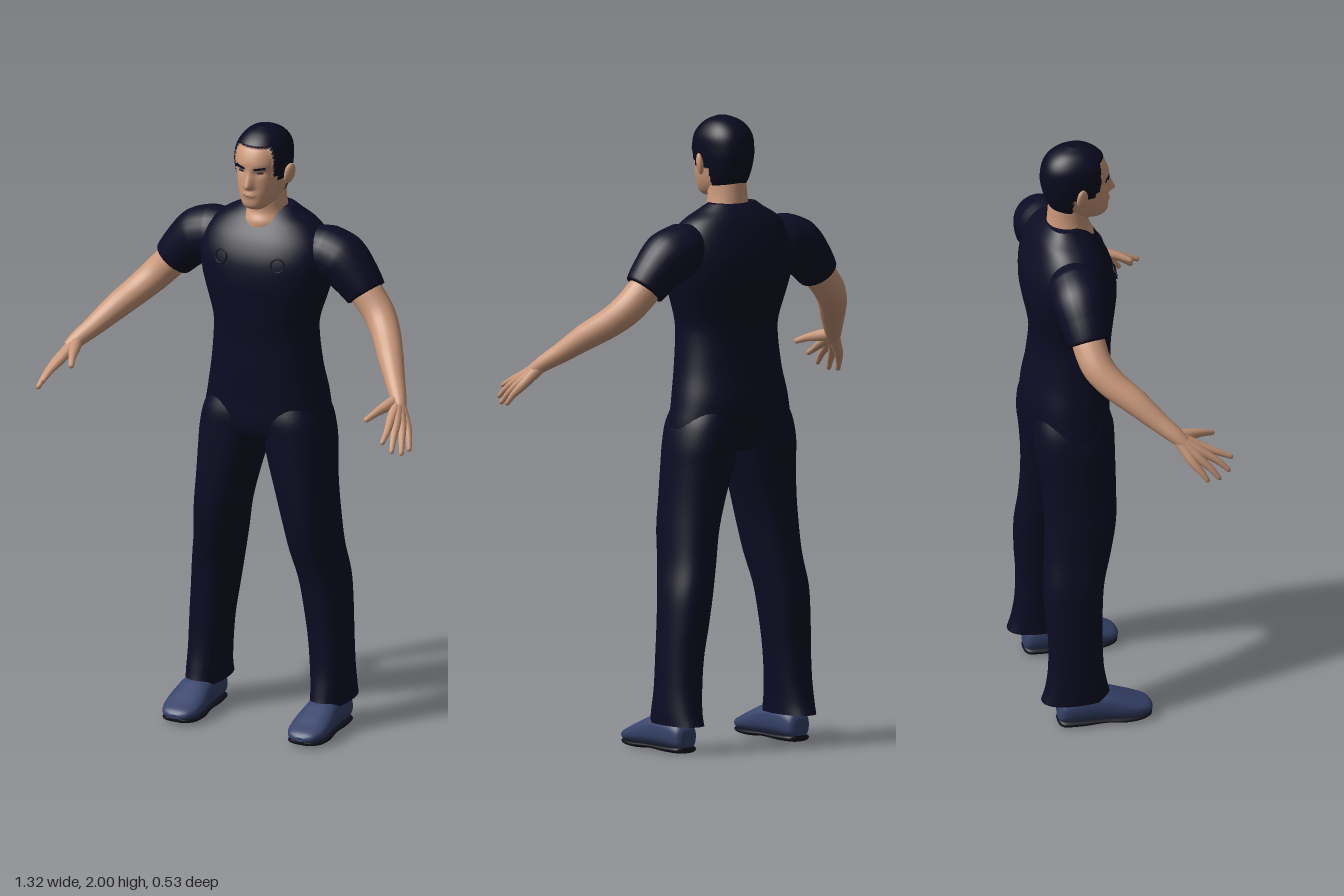
import * as THREE from 'three';
import { mergeVertices } from 'three/addons/utils/BufferGeometryUtils.js';

const paint = (name, color) => {
  const m = new THREE.MeshStandardMaterial({ color });
  m.name = name;
  return m;
};

// Uniform Catmull-Rom through rows of numbers, t from 0 to 1
function sampleRows(rows, t) {
  const last = rows.length - 1;
  const i = Math.min(Math.floor(t * last), last - 1);
  const u = t * last - i;
  const [a, b, c, d] = [rows[Math.max(i - 1, 0)], rows[i], rows[i + 1], rows[Math.min(i + 2, last)]];
  return b.map((_, k) => b[k] + 0.5 * u * (c[k] - a[k] +
    u * (2 * a[k] - 5 * b[k] + 4 * c[k] - d[k] + u * (3 * (b[k] - c[k]) + d[k] - a[k]))));
}

// Closed loft of rounded sections, each [height, centreX, halfWidth, zFront, zBack]
function loft(sections, power = 2.3, around = 40, rows = 48) {
  const pos = [], idx = [];
  const round = (v) => Math.sign(v) * Math.abs(v) ** (2 / power);
  for (let i = 0; i <= rows; i++) {
    const [y, cx, hw, zf, zb] = sampleRows(sections, i / rows);
    for (let j = 0; j < around; j++) {
      const a = (j / around) * Math.PI * 2;
      pos.push(cx + hw * round(Math.sin(a)), y, (zf + zb) / 2 + ((zf - zb) / 2) * round(Math.cos(a)));
      if (i === rows) continue;
      const p = i * around + j, q = i * around + ((j + 1) % around);
      idx.push(p, q, q + around, p, q + around, p + around);
    }
  }
  // Flat end caps with their own rims
  for (const top of [false, true]) {
    const [y, cx, , zf, zb] = sections[top ? sections.length - 1 : 0];
    const from = top ? rows * around : 0, base = pos.length / 3;
    pos.push(...pos.slice(from * 3, (from + around) * 3), cx, y, (zf + zb) / 2);
    for (let j = 0; j < around; j++) {
      const p = base + j, q = base + ((j + 1) % around);
      idx.push(...(top ? [p, q, base + around] : [q, p, base + around]));
    }
  }
  const g = new THREE.BufferGeometry();
  g.setAttribute('position', new THREE.Float32BufferAttribute(pos, 3));
  g.setIndex(idx);
  g.computeVertexNormals();
  return g;
}

// Tapered tube through points [x, y, z, radius]; s mirrors it in x
function limb(points, s, steps = 28, sides = 16) {
  const curve = new THREE.CatmullRomCurve3(points.map(([x, y, z]) => new THREE.Vector3(s * x, y, z)));
  const g = new THREE.TubeGeometry(curve, steps, 1, sides);
  const p = g.attributes.position, v = new THREE.Vector3();
  for (let i = 0; i <= steps; i++) {
    const centre = curve.getPointAt(i / steps);
    const k = curve.getUtoTmapping(i / steps) * (points.length - 1);
    const n = Math.min(Math.floor(k), points.length - 2);
    const r = THREE.MathUtils.lerp(points[n][3], points[n + 1][3], k - n);
    for (let j = 0; j <= sides; j++) {
      const q = i * (sides + 1) + j;
      v.fromBufferAttribute(p, q).sub(centre).multiplyScalar(r).add(centre);
      p.setXYZ(q, v.x, v.y, v.z);
    }
  }
  g.deleteAttribute('uv');
  g.deleteAttribute('normal');
  const merged = mergeVertices(g, 1e-5);
  merged.computeVertexNormals();
  return merged;
}

const isHair = (y, z) =>
  y > 1.787 && z < (y > 1.952 ? 1 : y > 1.86 ? -0.028 : y > 1.845 ? -0.045 : -0.115);

// Head with shaped nose, eye sockets and raised hair; group 0 is skin, group 1 hair
function headGeometry() {
  const g = loft([
    [1.745, 0, 0.03, -0.005, -0.08], [1.76, 0, 0.047, 0.01, -0.13], [1.79, 0, 0.063, 0.012, -0.17],
    [1.83, 0, 0.073, 0.011, -0.188], [1.87, 0, 0.077, 0.009, -0.198], [1.9, 0, 0.079, 0.014, -0.199],
    [1.935, 0, 0.077, 0.002, -0.192], [1.962, 0, 0.064, -0.018, -0.175], [1.982, 0, 0.044, -0.045, -0.147],
    [1.994, 0, 0.014, -0.075, -0.112],
  ], 2.25, 96, 72);
  const p = g.attributes.position, hair = [];
  const bell = (v, w) => Math.exp(-((v / w) ** 2));
  for (let i = 0; i < p.count; i++) {
    const v = new THREE.Vector3().fromBufferAttribute(p, i);
    hair[i] = isHair(v.y, v.z);
    if (hair[i]) {
      const c = new THREE.Vector3(0, 1.9, -0.09);
      v.add(v.clone().sub(c).setLength(0.006));
    } else if (v.z > -0.04) {
      const bridge = THREE.MathUtils.clamp((1.893 - v.y) / 0.065, 0, 1) * THREE.MathUtils.smoothstep(v.y, 1.813, 1.827);
      v.z += 0.026 * bridge * bell(v.x, 0.013);
      v.z -= 0.007 * bell(Math.abs(v.x) - 0.032, 0.015) * bell(v.y - 1.872, 0.011);
      v.z += 0.005 * bell(v.x, 0.02) * bell(v.y - 1.797, 0.009);
    }
    p.setXYZ(i, v.x, v.y, v.z);
  }
  const parts = [[], []], idx = g.index.array;
  for (let i = 0; i < idx.length; i += 3) {
    const tri = [idx[i], idx[i + 1], idx[i + 2]];
    parts[tri.filter((q) => hair[q]).length > 1 ? 1 : 0].push(...tri);
  }
  g.setIndex([...parts[0], ...parts[1]]);
  g.addGroup(0, parts[0].length, 0);
  g.addGroup(parts[0].length, parts[1].length, 1);
  g.computeVertexNormals();
  return g;
}

export function createModel() {
  const model = new THREE.Group();
  model.name = 'standingMan';
  const cloth = paint('navyCloth', 0x0c0c24), skin = paint('skin', 0xcb997b), hair = paint('darkHair', 0x0a0a20);
  const shoe = paint('blueShoe', 0x36426a), sole = paint('darkSole', 0x10101c), lip = paint('lip', 0x9a6654);
  const add = (name, geometry, material) => {
    const mesh = new THREE.Mesh(geometry, material);
    mesh.name = name;
    model.add(mesh);
    return mesh;
  };

  // Shirt body and hips
  add('torso', loft([
    [0.95, 0, 0.15, -0.03, -0.22], [1.0, 0, 0.21, 0, -0.25], [1.1, 0, 0.2, 0.005, -0.26],
    [1.2, 0, 0.182, 0.01, -0.245], [1.3, 0, 0.172, 0.012, -0.235], [1.36, 0, 0.173, 0.018, -0.24],
    [1.44, 0, 0.197, 0.025, -0.256], [1.5, 0, 0.214, 0.028, -0.265], [1.57, 0, 0.223, 0.02, -0.262],
    [1.63, 0, 0.208, -0.005, -0.246], [1.68, 0, 0.165, -0.04, -0.225], [1.71, 0, 0.115, -0.065, -0.205],
    [1.73, 0, 0.085, -0.09, -0.188],
  ], 2.3, 56, 72), cloth);

  // Neck and head
  add('neck', loft([
    [1.66, 0, 0.075, -0.035, -0.19], [1.69, 0, 0.074, -0.036, -0.188], [1.72, 0, 0.066, -0.05, -0.185],
    [1.76, 0, 0.06, -0.05, -0.182], [1.82, 0, 0.058, -0.05, -0.178],
  ], 2), skin);
  add('head', headGeometry(), [skin, hair]);
  add('mouth', new THREE.SphereGeometry(1, 16, 8), lip).scale.set(0.022, 0.0035, 0.005);
  model.getObjectByName('mouth').position.set(0, 1.796, 0.013);

  for (const s of [1, -1]) {
    const side = s > 0 ? 'left' : 'right';

    // Face details
    const ear = add(side + 'Ear', new THREE.SphereGeometry(1, 16, 12), skin);
    ear.scale.set(0.011, 0.035, 0.021);
    ear.position.set(s * 0.09, 1.853, -0.092);
    ear.rotation.set(-0.15, s * -0.45, s * -0.2);
    const eye = add(side + 'Eye', new THREE.SphereGeometry(1, 12, 8), hair);
    eye.scale.set(0.012, 0.004, 0.004);
    eye.position.set(s * 0.032, 1.872, -0.002);
    eye.rotation.y = s * 0.25;
    const brow = add(side + 'Brow', new THREE.BoxGeometry(0.036, 0.006, 0.008), hair);
    brow.position.set(s * 0.034, 1.888, 0.005);
    brow.rotation.set(0, s * 0.3, s * 0.12);

    // Raised ring on the chest
    const ring = add(side + 'ChestRing', new THREE.TorusGeometry(0.022, 0.003, 8, 24), cloth);
    ring.position.set(s * 0.1, 1.575, 0.011);
    ring.rotation.set(-0.25, s * 0.2, 0);

    // Sleeve and bare arm
    add(side + 'Sleeve', limb([
      [0.11, 1.61, -0.14, 0.06], [0.19, 1.592, -0.14, 0.088], [0.25, 1.572, -0.141, 0.088],
      [0.3, 1.527, -0.138, 0.077], [0.342, 1.477, -0.134, 0.065], [0.345, 1.473, -0.133, 0],
    ], s, 40, 24), cloth);
    add(side + 'Arm', limb([
      [0.29, 1.535, -0.138, 0.05], [0.345, 1.474, -0.135, 0.053], [0.395, 1.42, -0.12, 0.051],
      [0.435, 1.378, -0.085, 0.047], [0.485, 1.328, -0.02, 0.042], [0.535, 1.273, 0.045, 0.032],
      [0.572, 1.235, 0.093, 0.025], [0.585, 1.217, 0.112, 0.022],
    ], s, 40, 20), skin);

    // Fingers run from the wrist through the knuckles, together forming the palm
    [
      ['Index', [0.584, 1.197, 0.168], [0.596, 1.172, 0.222], [0.601, 1.15, 0.265]],
      ['Middle', [0.601, 1.186, 0.165], [0.616, 1.152, 0.215], [0.627, 1.118, 0.25]],
      ['Ring', [0.614, 1.174, 0.152], [0.632, 1.138, 0.188], [0.644, 1.103, 0.215]],
      ['Little', [0.622, 1.165, 0.132], [0.64, 1.135, 0.155], [0.651, 1.105, 0.175]],
    ].forEach(([name, knuckle, joint, tip]) => add(side + name + 'Finger', limb([
      [0.568, 1.238, 0.088, 0.02], [...knuckle, 0.018].map((v, k) => (k < 3 ? (v + [0.57, 1.235, 0.09][k]) / 2 : v)),
      [...knuckle, 0.015], [...joint, 0.0105], [...tip, 0.007], [tip[0] + 0.001, tip[1] - 0.003, tip[2] + 0.003, 0],
    ], s, 28, 10), skin));
    add(side + 'Thumb', limb([
      [0.568, 1.236, 0.092, 0.02], [0.553, 1.226, 0.138, 0.018], [0.537, 1.215, 0.185, 0.012],
      [0.521, 1.2, 0.224, 0.008], [0.52, 1.198, 0.228, 0],
    ], s, 24, 10), skin);

    // Trouser leg, flaring at the hem
    add(side + 'TrouserLeg', loft([
      [0.09, s * 0.22, 0.06, -0.035, -0.258], [0.13, s * 0.22, 0.061, -0.045, -0.245],
      [0.2, s * 0.216, 0.063, -0.057, -0.234], [0.3, s * 0.21, 0.066, -0.06, -0.232],
      [0.4, s * 0.2, 0.071, -0.057, -0.24], [0.5, s * 0.188, 0.076, -0.048, -0.243],
      [0.6, s * 0.169, 0.078, -0.022, -0.235], [0.7, s * 0.156, 0.083, -0.003, -0.23],
      [0.8, s * 0.139, 0.092, 0.001, -0.233], [0.9, s * 0.122, 0.104, 0.002, -0.243],
      [0.97, s * 0.112, 0.11, 0.002, -0.252], [1.04, s * 0.1, 0.108, 0, -0.25], [1.1, s * 0.09, 0.09, -0.02, -0.235],
    ], 2.3, 36, 60), cloth);

    // Shoe and sole, lofted from heel to toe with depth standing for height
    const footPart = (rows) => loft(rows.map(([z, hw, top, bottom]) => [z, s * 0.222, hw, -bottom, -top]), 2.5, 28, 32)
      .rotateX(Math.PI / 2);
    add(side + 'Shoe', footPart([
      [-0.205, 0.025, 0.075, 0.02], [-0.19, 0.042, 0.095, 0.012], [-0.13, 0.05, 0.115, 0.012],
      [-0.06, 0.056, 0.112, 0.012], [0, 0.063, 0.088, 0.012], [0.05, 0.061, 0.065, 0.014],
      [0.085, 0.045, 0.05, 0.018], [0.098, 0.018, 0.037, 0.023],
    ]), shoe);
    add(side + 'Sole', footPart([
      [-0.205, 0.025, 0.02, 0.004], [-0.19, 0.042, 0.024, 0], [-0.13, 0.05, 0.024, 0], [-0.06, 0.053, 0.024, 0.004],
      [0, 0.062, 0.024, 0], [0.05, 0.06, 0.024, 0.002], [0.085, 0.044, 0.024, 0.008], [0.096, 0.018, 0.024, 0.014],
    ]), sole);
  }
  return model;
}
